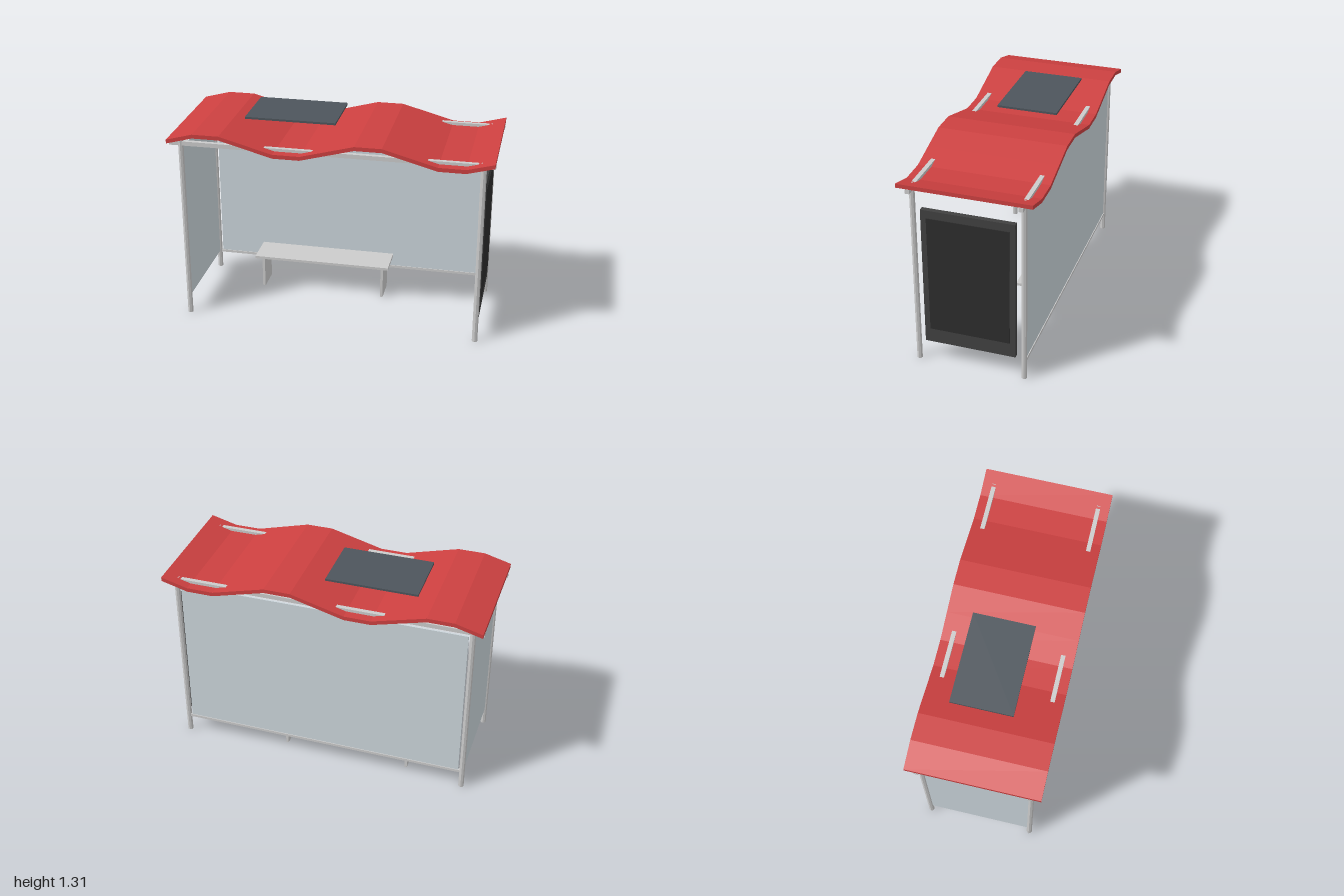
import * as THREE from 'three';

const paint = (color) => new THREE.MeshStandardMaterial({ color, flatShading: true });

export function createModel() {
  const shelter = new THREE.Group();
  shelter.name = 'busShelter';
  const metal = paint(0xcccccc);
  const glass = paint(0xccd6dc);

  const add = (name, geometry, material) => {
    const mesh = new THREE.Mesh(geometry, material);
    mesh.name = name;
    shelter.add(mesh);
    return mesh;
  };
  // box given by its [min, max] extents on each axis
  const box = (name, [x0, x1], [y0, y1], [z0, z1], material) => {
    const mesh = add(name, new THREE.BoxGeometry(x1 - x0, y1 - y0, z1 - z0), material);
    mesh.position.set((x0 + x1) / 2, (y0 + y1) / 2, (z0 + z1) / 2);
    return mesh;
  };

  // wavy roof: two periods of a sine in twelve straight segments
  const steps = 12, depth = 0.81, thickness = 0.025;
  const wave = [];
  for (let i = 0; i <= steps; i++) {
    wave.push([-1 + (2 * i) / steps, 1.2125 + 0.052 * Math.sin((i / steps) * Math.PI * 4)]);
  }
  const outline = [
    ...wave.map(([x, y]) => new THREE.Vector2(x, y - thickness / 2)),
    ...wave.slice().reverse().map(([x, y]) => new THREE.Vector2(x, y + thickness / 2)),
  ];
  const roof = new THREE.ExtrudeGeometry(new THREE.Shape(outline), { depth, bevelEnabled: false });
  roof.translate(0, 0, -depth / 2);
  add('roof', roof, paint(0xcc4040));

  // corner posts and the roof rails they carry
  for (const z of [-0.335, 0.335]) {
    for (const x of [-0.93, 0.93]) {
      const post = add('post', new THREE.CylinderGeometry(0.0175, 0.0175, 1.203, 8), metal);
      post.position.set(x, 0.6015, z);
    }
    box('roofRail', [-1, 1], [1.171, 1.198], [z - 0.0135, z + 0.0135], metal);
  }

  // back and side glazing
  box('backPanel', [-0.905, 0.905], [0.12, 1.15], [-0.34, -0.33], glass);
  box('sidePanel', [-0.935, -0.925], [0.12, 1.15], [-0.32, 0.32], glass);
  box('bottomRail', [-0.915, 0.915], [0.113, 0.13], [-0.345, -0.325], metal);

  // display case closing the other side
  box('displayFrame', [0.913, 0.945], [0.145, 1.05], [-0.285, 0.285], paint(0x404040));
  box('displayScreen', [0.907, 0.949], [0.24, 1.0], [-0.25, 0.25], paint(0x2c2c2c));

  // bench
  box('benchSeat', [-0.6, 0.305], [0.215, 0.232], [-0.3, -0.08], metal);
  for (const x of [-0.55, 0.26]) {
    box('benchLeg', [x - 0.0085, x + 0.0085], [0, 0.215], [-0.275, -0.105], metal);
  }

  // solar panel above the roof
  box('solarPanel', [-0.572, 0], [1.297, 1.31], [-0.24, 0.142], paint(0x4d555c));

  return shelter;
}
